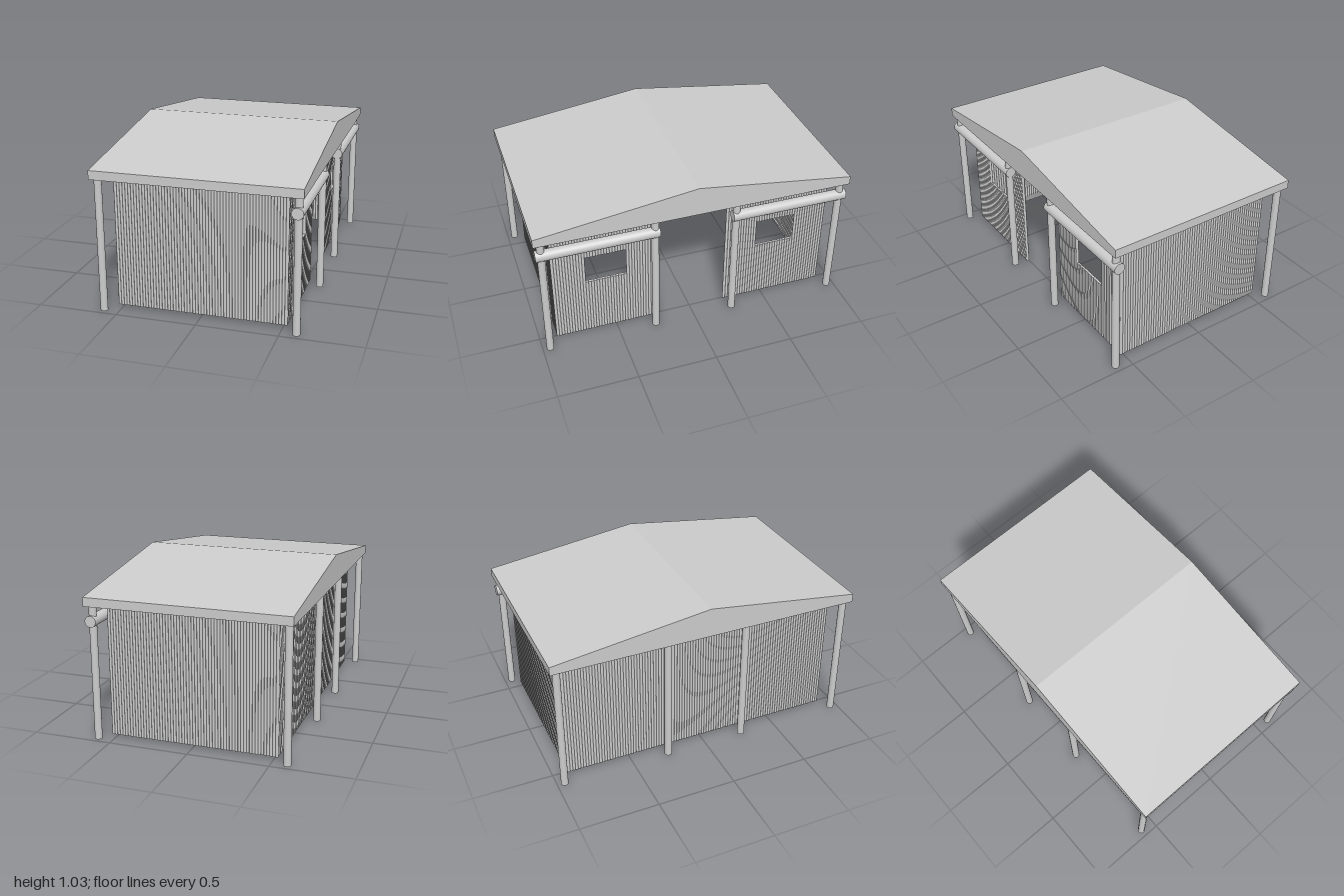
import * as THREE from 'three';
import { mergeGeometries } from 'three/addons/utils/BufferGeometryUtils.js';

const WALL_BOTTOM = 0.018, WALL_TOP = 0.845, EAVE = 0.838;
const POLE_R = 0.0095, POLE_STEP = 0.0176;

export function createModel() {
  const model = new THREE.Group();
  const material = new THREE.MeshStandardMaterial({ color: 0xcccccc });
  const add = (name, geometry) => {
    const mesh = new THREE.Mesh(geometry, material);
    mesh.name = name;
    model.add(mesh);
    return mesh;
  };

  // Gabled roof slab with its ridge along x
  const profile = new THREE.Shape([
    [-1, EAVE], [1, EAVE], [1, 0.893], [0, 1.027], [-1, 0.893],
  ].map(([z, y]) => new THREE.Vector2(z, y)));
  const roof = new THREE.ExtrudeGeometry(profile, { depth: 1.264, bevelEnabled: false });
  roof.translate(0, 0, -0.632).rotateY(-Math.PI / 2);
  add('roof', roof);

  // Row of thin upright poles; an optional window leaves a gap in height
  function palisade(name, alongX, fixed, from, to, window) {
    const count = Math.round((to - from) / POLE_STEP);
    const step = (to - from) / count;
    const poles = [];
    const pole = (s, y0, y1) => {
      const g = new THREE.CylinderGeometry(POLE_R, POLE_R, y1 - y0, 10);
      g.translate(alongX ? s : fixed, (y0 + y1) / 2, alongX ? fixed : s);
      poles.push(g);
    };
    for (let i = 0; i < count; i++) {
      const s = from + (i + 0.5) * step;
      if (window && s > window[0] && s < window[1]) {
        pole(s, WALL_BOTTOM, 0.41);
        pole(s, 0.6, WALL_TOP);
      } else pole(s, WALL_BOTTOM, WALL_TOP);
    }
    add(name, mergeGeometries(poles));
  }

  palisade('frontWall', true, 0.884, -0.527, 0.527);
  palisade('backWall', true, -0.9, -0.527, 0.527);
  palisade('closedSideWall', false, -0.518, -0.909, 0.893);
  // Entrance side: two window walls with a full-height opening between
  palisade('entranceWallFront', false, 0.518, 0.215, 0.893, [0.43, 0.68]);
  palisade('entranceWallBack', false, 0.518, -0.909, -0.227, [-0.695, -0.445]);

  // Posts carrying the eaves on both long sides
  for (const x of [-0.595, 0.595]) {
    for (const z of [-0.953, -0.26, 0.26, 0.953]) {
      const post = new THREE.CylinderGeometry(0.023, 0.023, EAVE + 0.005, 20);
      add('post', post).position.set(x, (EAVE + 0.005) / 2, z);
    }
  }

  // Log beams joining the post pairs on the entrance side
  for (const side of [-1, 1]) {
    const beam = new THREE.CylinderGeometry(0.035, 0.035, 0.755, 28).rotateX(Math.PI / 2);
    add('beam', beam).position.set(0.595, 0.745, side * 0.6125);
  }
  return model;
}
